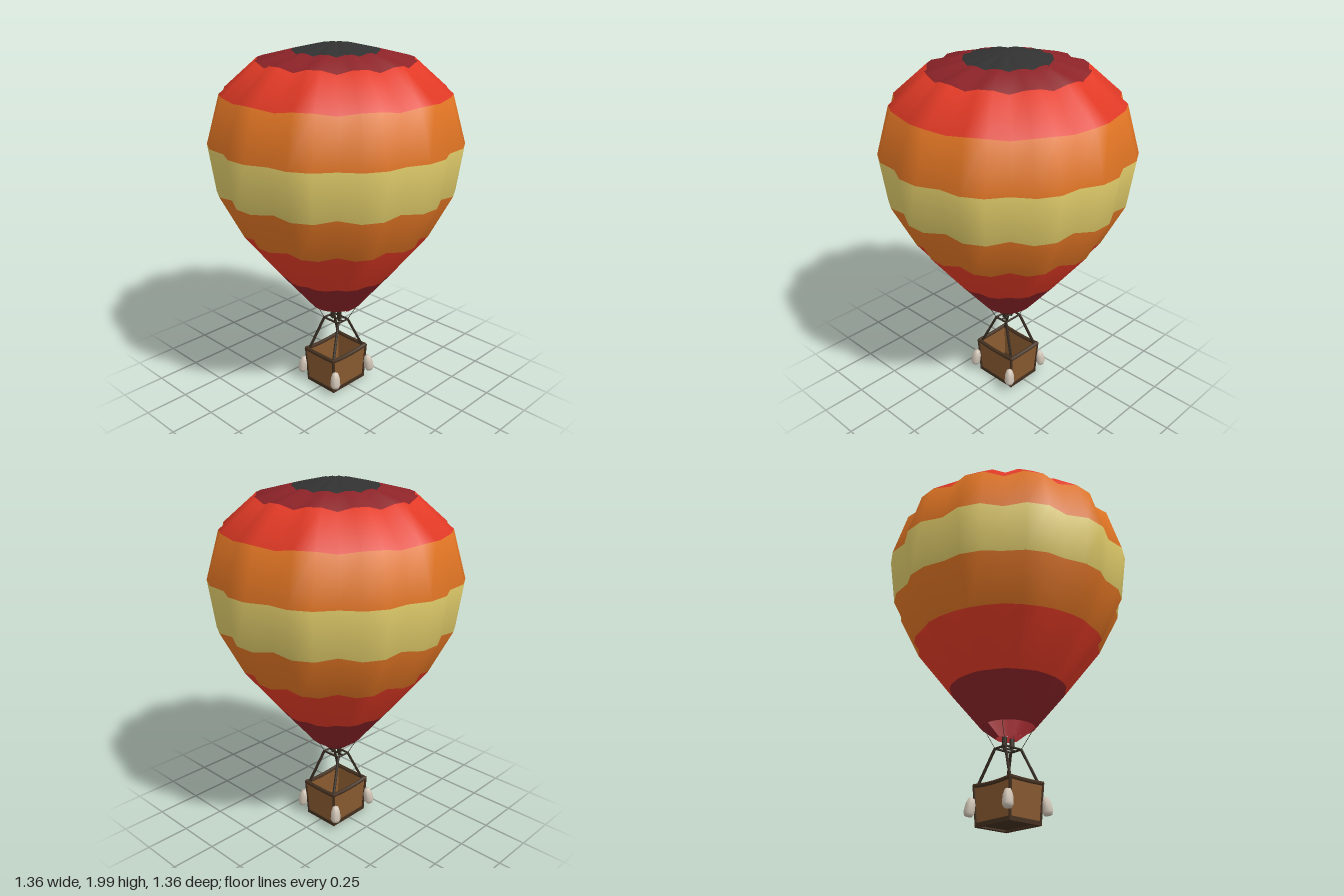
import * as THREE from 'three';

const mat = (name, color, double) => {
  const m = new THREE.MeshStandardMaterial({ color });
  m.name = name;
  if (double) m.side = THREE.DoubleSide;
  return m;
};

export function createModel() {
  const charcoal = mat('charcoal', 0x313131, true);
  const darkRed = mat('dark red', 0x8c2328, true);
  const red = mat('red', 0xe23a26, true);
  const orange = mat('orange', 0xdf7424, true);
  const yellow = mat('yellow', 0xdcc868, true);
  const wicker = mat('wicker', 0x87592f);
  const leather = mat('dark leather', 0x44301f);
  const metal = mat('dark metal', 0x33291f);
  const canvas = mat('canvas', 0xcfc3b4);

  const model = new THREE.Group();
  model.name = 'hotAirBalloon';
  const add = (name, geometry, material, parent = model) => {
    const mesh = new THREE.Mesh(geometry, material);
    mesh.name = name;
    parent.add(mesh);
    return mesh;
  };
  // Straight rod between two points
  const rod = (name, a, b, r, material, sides = 6) => {
    const p = new THREE.Vector3(...a), q = new THREE.Vector3(...b);
    const mesh = add(name, new THREE.CylinderGeometry(r, r, p.distanceTo(q), sides), material);
    mesh.position.copy(p).lerp(q, 0.5);
    mesh.quaternion.setFromUnitVectors(new THREE.Vector3(0, 1, 0), q.sub(p).normalize());
    return mesh;
  };

  // Envelope: twelve gores, each with two crest points and a seam pressed inward
  // Rows: radius, height, seam depth, band colour above the row
  const rows = [
    [0.145, 0.53, 0, 0], [0.32, 0.74, 0.008, 1], [0.525, 1.0, 0.025, 2],
    [0.648, 1.24, 0.035, 3], [0.684, 1.5, 0.037, 2], [0.61, 1.757, 0.034, 1],
    [0.422, 1.92, 0.024, 0], [0.232, 1.967, 0.012, 4], [0.08, 2.0, 0.003, 4], [0, 2.0, 0, 4],
  ];
  const N = 36, pos = [], index = [];
  const envelope = new THREE.BufferGeometry();
  rows.forEach(([r, y, depth, colour], i) => {
    const below = rows[Math.max(i - 1, 0)], above = rows[Math.min(i + 1, rows.length - 1)];
    const dr = above[0] - below[0], dy = above[1] - below[1], len = Math.hypot(dr, dy);
    for (let k = 0; k < N; k++) {
      const a = THREE.MathUtils.degToRad(5 + 10 * k);
      const d = k % 3 === 1 ? depth : 0;
      const R = r - (d * dy) / len, Y = y + (d * dr) / len;
      pos.push(R * Math.sin(a), Y, R * Math.cos(a));
      if (i === rows.length - 1) continue;
      const p = i * N + k, q = i * N + ((k + 1) % N);
      index.push(p, q, q + N, p, q + N, p + N);
    }
    if (i < rows.length - 1) envelope.addGroup(i * N * 6, N * 6, colour);
  });
  envelope.setAttribute('position', new THREE.Float32BufferAttribute(pos, 3));
  envelope.setIndex(index);
  envelope.computeVertexNormals();
  add('envelope', envelope, [darkRed, red, orange, yellow, charcoal]);

  // Half skirt hanging behind the mouth
  const skirt = new THREE.CylinderGeometry(0.145, 0.065, 0.06, 18, 1, true, Math.PI / 2, Math.PI);
  add('skirt', skirt, darkRed).position.y = 0.5;

  // Basket: four leaning walls with sagging, padded top edges
  const basket = new THREE.Group();
  basket.name = 'basket';
  model.add(basket);
  const wall = (turn, offset, bottom, top, sag, lean) => {
    const side = new THREE.Group();
    side.name = 'basketSide';
    side.rotation.y = turn;
    basket.add(side);
    const panel = new THREE.Group();
    panel.name = 'wallAssembly';
    panel.position.set(0, 0.02, offset);
    panel.rotation.x = lean;
    side.add(panel);
    const h = 0.205;
    const s = new THREE.Shape();
    s.moveTo(-bottom, 0);
    s.lineTo(bottom, 0);
    s.lineTo(top, h);
    s.quadraticCurveTo(0, h - 2 * sag, -top, h);
    const g = new THREE.ExtrudeGeometry(s, { depth: 0.012, bevelEnabled: false, curveSegments: 8 });
    g.translate(0, 0, -0.012);
    add('wall', g, wicker, panel);
    const edge = new THREE.QuadraticBezierCurve3(
      new THREE.Vector3(-top - 0.004, h, -0.004),
      new THREE.Vector3(0, h - 2 * sag, -0.004),
      new THREE.Vector3(top + 0.004, h, -0.004));
    add('topPadding', new THREE.TubeGeometry(edge, 8, 0.012, 6), leather, panel);
    const base = add('bottomTrim', new THREE.BoxGeometry(2 * bottom + 0.012, 0.022, 0.02), leather, panel);
    base.position.set(0, 0.002, -0.004);
  };
  for (const turn of [0, Math.PI]) {
    wall(turn, 0.126, 0.104, 0.113, 0.003, 0.07);
    wall(turn + Math.PI / 2, 0.104, 0.126, 0.138, 0.009, 0.045);
  }
  add('floor', new THREE.BoxGeometry(0.2, 0.012, 0.245), leather, basket).position.y = 0.026;

  // Corner parts: padding, upright, suspension wire and sandbag
  const bagProfile = [[0, -0.05], [0.02, -0.048], [0.029, -0.03], [0.026, 0.015], [0.016, 0.045], [0, 0.05]]
    .map(([x, y]) => new THREE.Vector2(x, y));
  const bagGeometry = new THREE.LatheGeometry(bagProfile, 8);
  for (const sx of [-1, 1]) {
    for (const sz of [-1, 1]) {
      rod('cornerPadding', [sx * 0.104, 0.012, sz * 0.125], [sx * 0.114, 0.23, sz * 0.138], 0.008, leather);
      rod('upright', [sx * 0.1, 0.225, sz * 0.122], [sx * 0.057, 0.415, sz * 0.04], 0.008, metal);
      rod('suspensionWire', [sx * 0.057, 0.415, sz * 0.04], [sx * 0.115, 0.535, sz * 0.078], 0.0018, metal, 4);
      const bag = add('sandbag', bagGeometry, canvas);
      bag.position.set(sx * 0.134, 0.112, sz * 0.142);
      bag.rotation.set(-sz * 0.12, 0, sx * 0.12);
    }
    // Burner frame and burners
    rod('frameSideBar', [sx * 0.057, 0.415, -0.044], [sx * 0.057, 0.415, 0.044], 0.006, metal);
    rod('frameCrossBar', [-0.06, 0.415, sx * 0.04], [0.06, 0.415, sx * 0.04], 0.006, metal);
    rod('burner', [sx * 0.027, 0.425, 0], [sx * 0.027, 0.475, 0], 0.014, metal, 10);
    rod('burnerNozzle', [sx * 0.027, 0.405, 0], [sx * 0.027, 0.43, 0], 0.007, metal, 8);
  }
  rod('burnerBar', [-0.057, 0.415, 0], [0.057, 0.415, 0], 0.005, metal);

  return model;
}
